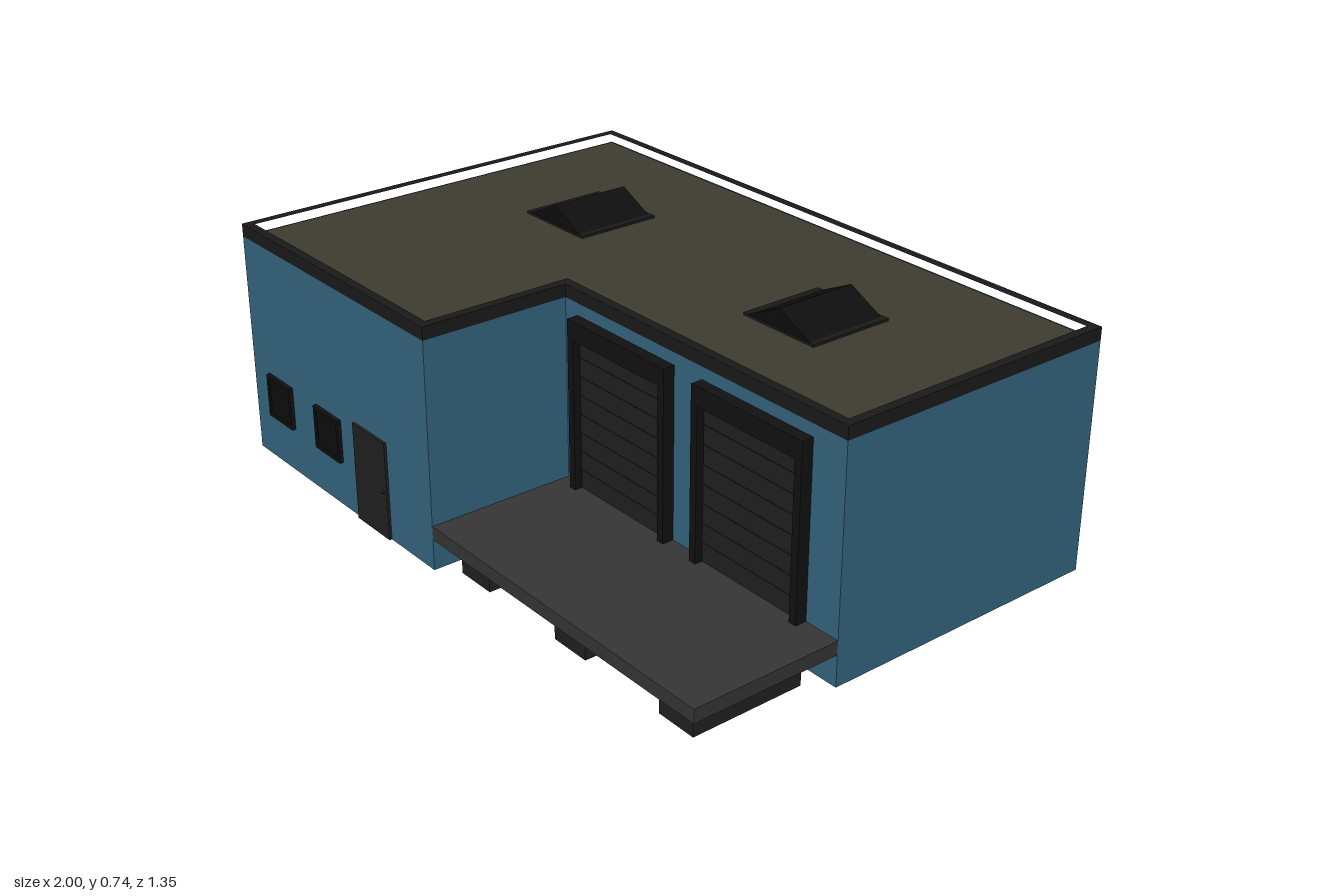
import * as THREE from 'three';

const mat = (color, side = THREE.FrontSide) =>
  new THREE.MeshStandardMaterial({ color, side, flatShading: true });

export function createModel() {
  const model = new THREE.Group();
  const blue = mat(0x346580, THREE.DoubleSide);
  const roofMat = mat(0x3f3b31, THREE.DoubleSide);
  const trim = mat(0x1a1a1a);
  const panel = mat(0x212121);
  const concrete = mat(0x363636);
  const glass = mat(0x0d0d0d);
  const frameMat = mat(0x111111);

  const add = (parent, name, geometry, material) => {
    const mesh = new THREE.Mesh(geometry, material);
    mesh.name = name;
    parent.add(mesh);
    return mesh;
  };
  // box given by its extents on each axis
  const box = (parent, name, material, [x0, x1], [y0, y1], [z0, z1]) => {
    const m = add(parent, name, new THREE.BoxGeometry(x1 - x0, y1 - y0, z1 - z0), material);
    m.position.set((x0 + x1) / 2, (y0 + y1) / 2, (z0 + z1) / 2);
    return m;
  };
  const group = (name) => {
    const g = new THREE.Group();
    g.name = name;
    model.add(g);
    return g;
  };

  // L-shaped footprint (x, z), optionally inset
  const footprint = (t = 0) => [
    [-1 + t, -0.673 + t], [1 - t, -0.673 + t], [1 - t, 0.21 - t],
    [-0.07 - t, 0.21 - t], [-0.07 - t, 0.66 - t], [-1 + t, 0.66 - t],
  ];
  const outline = (t) => footprint(t).map(([x, z]) => new THREE.Vector2(x, -z));
  const wallTop = 0.67;

  // thin walls, open at the bottom
  const walls = group('walls');
  const pts = footprint();
  pts.forEach(([x0, z0], i) => {
    const [x1, z1] = pts[(i + 1) % pts.length];
    const w = add(walls, 'wall',
      new THREE.PlaneGeometry(Math.hypot(x1 - x0, z1 - z0), wallTop), blue);
    w.position.set((x0 + x1) / 2, wallTop / 2, (z0 + z1) / 2);
    w.rotation.y = Math.atan2(z1 - z0, -(x1 - x0));
  });

  // flat roof and raised edge
  const roof = add(model, 'roof', new THREE.ShapeGeometry(new THREE.Shape(outline(0.01))), roofMat);
  roof.rotation.x = -Math.PI / 2;
  roof.position.y = wallTop + 0.003;
  const rim = new THREE.Shape(outline(0));
  rim.holes.push(new THREE.Path(outline(0.027)));
  const parapet = add(model, 'parapet',
    new THREE.ExtrudeGeometry(rim, { depth: 0.038, bevelEnabled: false }), trim);
  parapet.rotation.x = -Math.PI / 2;
  parapet.position.y = wallTop;

  // gabled skylights on low curbs
  for (const x of [-0.505, 0.45]) {
    const s = group('skylight');
    box(s, 'skylightCurb', trim, [x - 0.132, x + 0.132], [0.671, 0.68], [-0.34, -0.075]);
    const gable = new THREE.Shape([
      new THREE.Vector2(-0.118, 0.678), new THREE.Vector2(0.118, 0.678), new THREE.Vector2(0, 0.735),
    ]);
    const g = add(s, 'skylightGlass',
      new THREE.ExtrudeGeometry(gable, { depth: 0.253, bevelEnabled: false }), glass);
    g.position.set(x, 0, -0.331);
  }

  // loading doors with frames and slats
  for (const x of [-0.018, 0.488]) {
    const d = group('loadingDoor');
    const x1 = x + 0.4, z = [0.202, 0.245], t = 0.024;
    box(d, 'doorPost', frameMat, [x, x + t], [0.133, 0.635], z);
    box(d, 'doorPost', frameMat, [x1 - t, x1], [0.133, 0.635], z);
    box(d, 'doorHeader', frameMat, [x + t, x1 - t], [0.58, 0.635], z);
    const n = 8, h = (0.58 - 0.133) / n;
    box(d, 'doorBacking', frameMat, [x + t, x1 - t], [0.133, 0.58], [0.211, 0.218]);
    for (let i = 0; i < n; i++) {
      const y = 0.133 + i * h;
      box(d, 'doorSlat', panel, [x + t, x1 - t], [y + 0.001, y + h - 0.001], [0.215, 0.222]);
    }
  }

  // loading dock on three piers
  const dock = group('loadingDock');
  box(dock, 'dockSlab', concrete, [-0.07, 1], [0.093, 0.133], [0.21, 0.66]);
  for (const x of [-0.011, 0.401, 0.814]) {
    box(dock, 'dockPier', panel, [x, x + 0.126], [0, 0.093], [0.27, 0.61]);
  }

  // office windows
  for (const x of [-0.911, -0.648]) {
    const w = group('window');
    const x1 = x + 0.131, y0 = 0.14, y1 = 0.272, t = 0.01, z = [0.652, 0.672];
    box(w, 'windowPane', glass, [x + t, x1 - t], [y0 + t, y1 - t], [0.655, 0.667]);
    for (const a of [x, x1 - t]) box(w, 'windowJamb', frameMat, [a, a + t], [y0, y1], z);
    for (const b of [y0, y1 - t]) box(w, 'windowRail', frameMat, [x + t, x1 - t], [b, b + t], z);
  }

  // entrance door and knob
  const entrance = group('entrance');
  box(entrance, 'entranceDoor', panel, [-0.441, -0.28], [0, 0.296], [0.652, 0.668]);
  const knob = add(entrance, 'doorKnob', new THREE.SphereGeometry(0.005, 10, 8), glass);
  knob.position.set(-0.297, 0.143, 0.668);

  return model;
}
